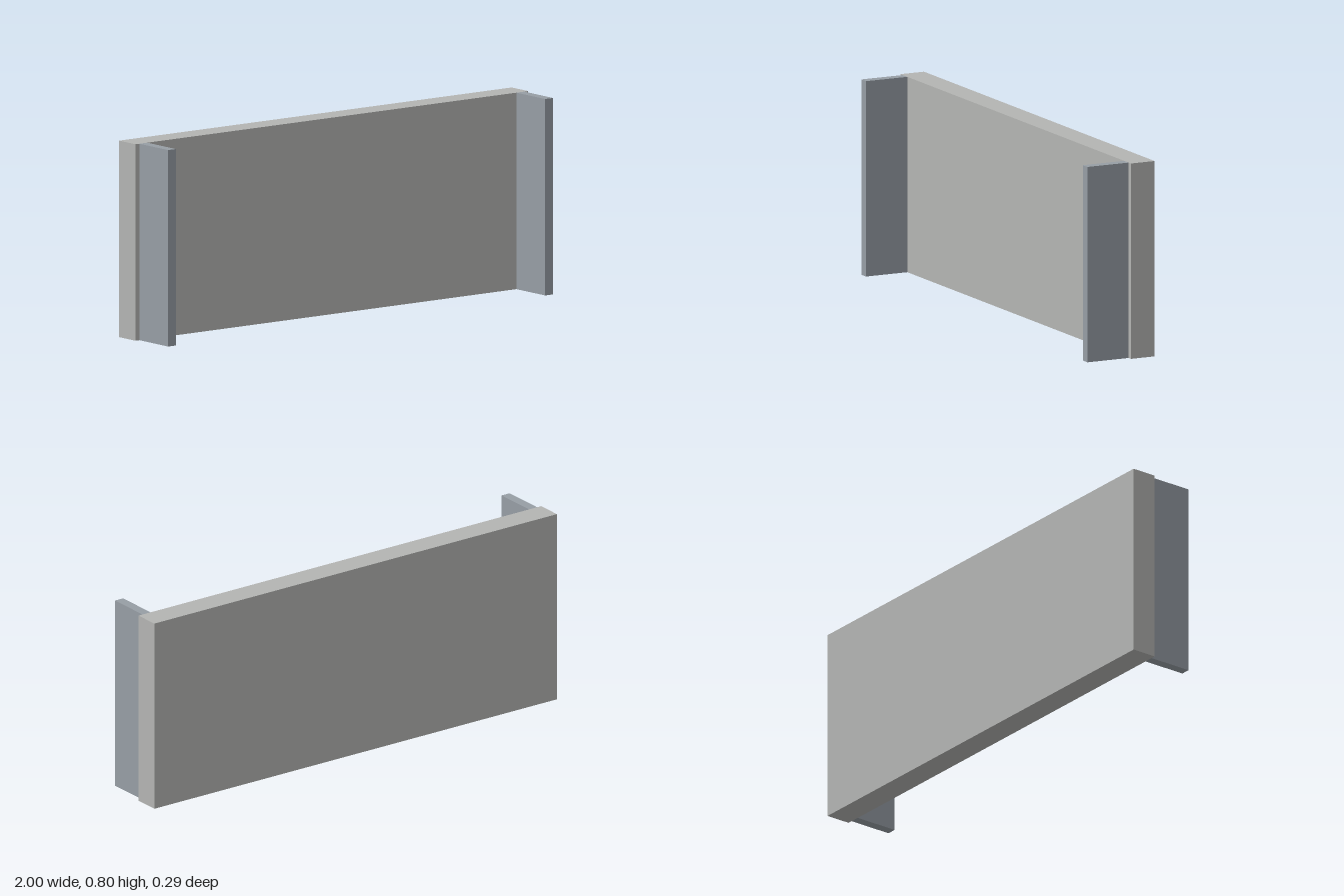
import * as THREE from 'three';

const HEIGHT = 0.8;

function slab(name, width, zBack, zFront, x, material) {
  const mesh = new THREE.Mesh(new THREE.BoxGeometry(width, HEIGHT, zFront - zBack), material);
  mesh.name = name;
  mesh.position.set(x, HEIGHT / 2, (zBack + zFront) / 2);
  return mesh;
}

export function createModel() {
  const group = new THREE.Group();
  group.name = 'wallPanel';
  const panelMaterial = new THREE.MeshStandardMaterial({ color: 0xb4b5b3 });
  const flangeMaterial = new THREE.MeshStandardMaterial({ color: 0x979ea5 });

  // Thick upright back panel
  group.add(slab('backPanel', 2, -0.147, -0.04, 0, panelMaterial));

  // Thin flanges standing forward, slightly inset from both ends
  for (const side of [1, -1]) {
    const name = side > 0 ? 'leftFlange' : 'rightFlange';
    group.add(slab(name, 0.04, -0.04, 0.147, side * 0.96, flangeMaterial));
  }
  return group;
}
